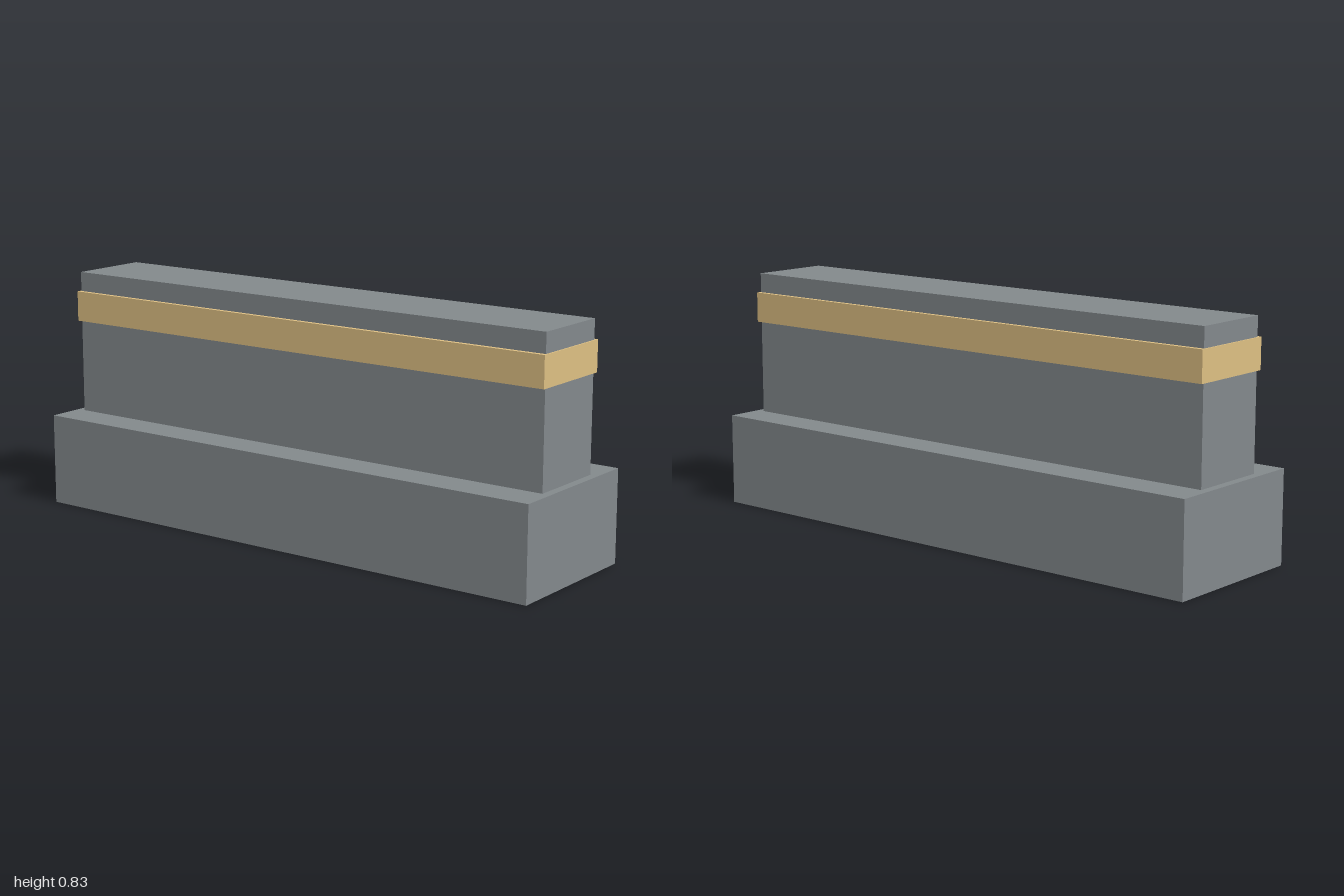
import * as THREE from 'three';

export function createModel() {
  const model = new THREE.Group();
  const stone = new THREE.MeshStandardMaterial({ color: 0x82888b });
  const gold = new THREE.MeshStandardMaterial({ color: 0xdcbe82 });

  // Box centred on x and z, spanning y0 to y1
  function block(name, width, y0, y1, depth, material) {
    const mesh = new THREE.Mesh(new THREE.BoxGeometry(width, y1 - y0, depth), material);
    mesh.name = name;
    mesh.position.y = (y0 + y1) / 2;
    model.add(mesh);
  }

  // Wide plinth, narrower wall on top, and a raised band around the wall
  block('base', 2, 0, 0.323, 0.554, stone);
  block('wall', 1.942, 0.323, 0.832, 0.294, stone);
  block('band', 1.952, 0.656, 0.763, 0.324, gold);

  return model;
}
